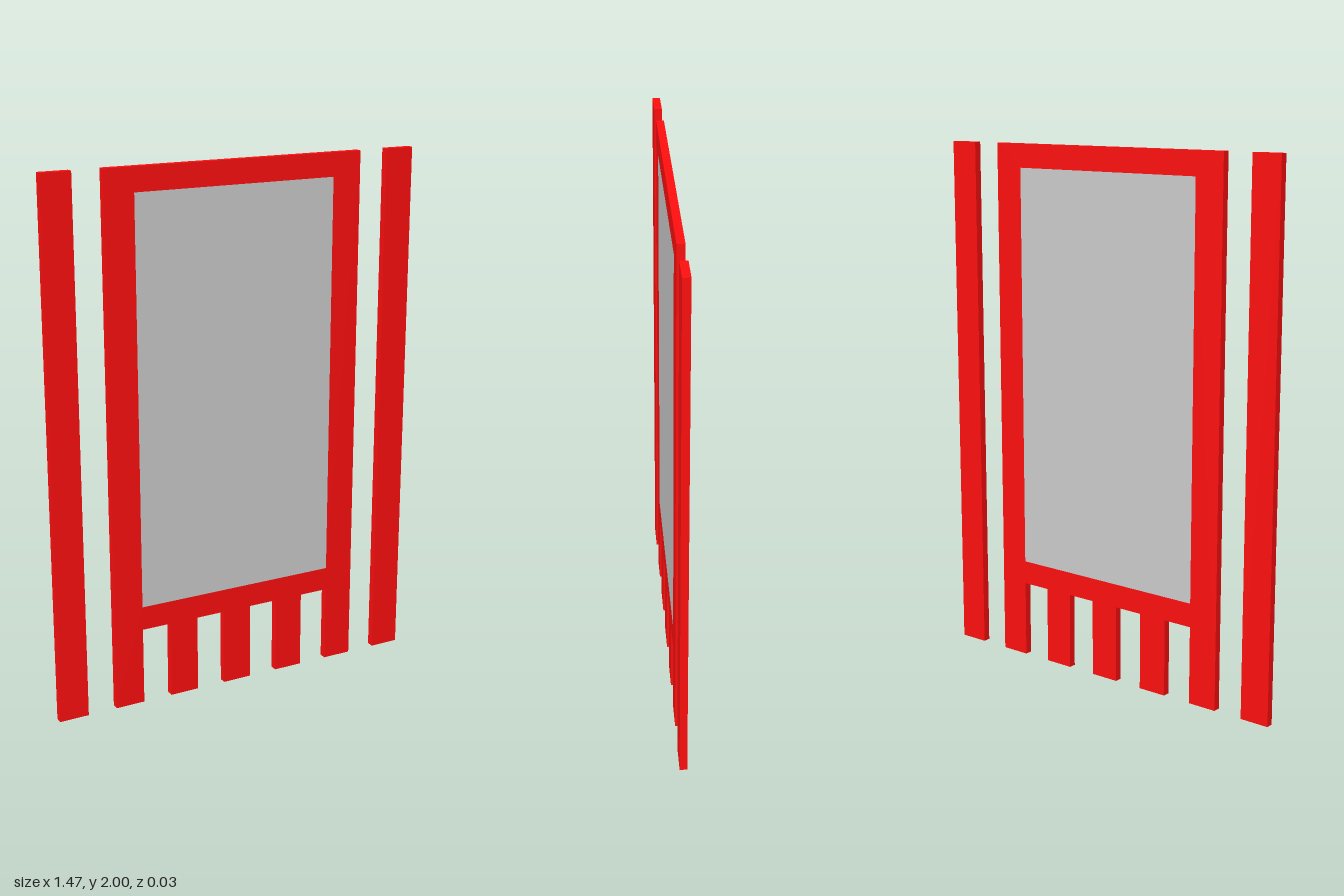
import * as THREE from 'three';

const W = 0.113;      // bar width, also the gap between bars
const DEPTH = 0.028;  // thickness of every part
const RAIL_Y = 0.295; // underside of the lower rail
const OPEN_BOTTOM = 0.385, OPEN_TOP = 1.912;

export function createModel() {
  const group = new THREE.Group();
  const red = new THREE.MeshStandardMaterial({ color: 0xff0f0f });
  const grey = new THREE.MeshStandardMaterial({ color: 0xcccccc });

  const add = (name, geometry, material, x = 0, y = 0, z = 0) => {
    const mesh = new THREE.Mesh(geometry, material);
    mesh.name = name;
    mesh.position.set(x, y, z);
    group.add(mesh);
  };

  // Frame outline: five legs along the bottom, then up and over the top
  const outline = [];
  for (let i = -2; i <= 2; i++) {
    const left = i * 2 * W - W / 2, right = left + W;
    if (i > -2) outline.push(new THREE.Vector2(left, RAIL_Y));
    outline.push(new THREE.Vector2(left, 0), new THREE.Vector2(right, 0));
    if (i < 2) outline.push(new THREE.Vector2(right, RAIL_Y));
  }
  outline.push(new THREE.Vector2(4.5 * W, 2), new THREE.Vector2(-4.5 * W, 2));
  const frame = new THREE.Shape(outline);

  // Opening for the panel
  const inner = 3.5 * W;
  frame.holes.push(new THREE.Path([
    new THREE.Vector2(-inner, OPEN_BOTTOM), new THREE.Vector2(-inner, OPEN_TOP),
    new THREE.Vector2(inner, OPEN_TOP), new THREE.Vector2(inner, OPEN_BOTTOM),
  ]));
  add('frame', new THREE.ExtrudeGeometry(frame, { depth: DEPTH, bevelEnabled: false }), red, 0, 0, -DEPTH / 2);

  // Panel, flush with the frame on both sides
  add('panel', new THREE.BoxGeometry(2 * inner, OPEN_TOP - OPEN_BOTTOM, DEPTH), grey, 0, (OPEN_TOP + OPEN_BOTTOM) / 2);

  // Free-standing posts on either side
  for (const side of [-1, 1]) {
    add(side > 0 ? 'leftPost' : 'rightPost', new THREE.BoxGeometry(W, 2, DEPTH), red, side * 6 * W, 1);
  }
  return group;
}
